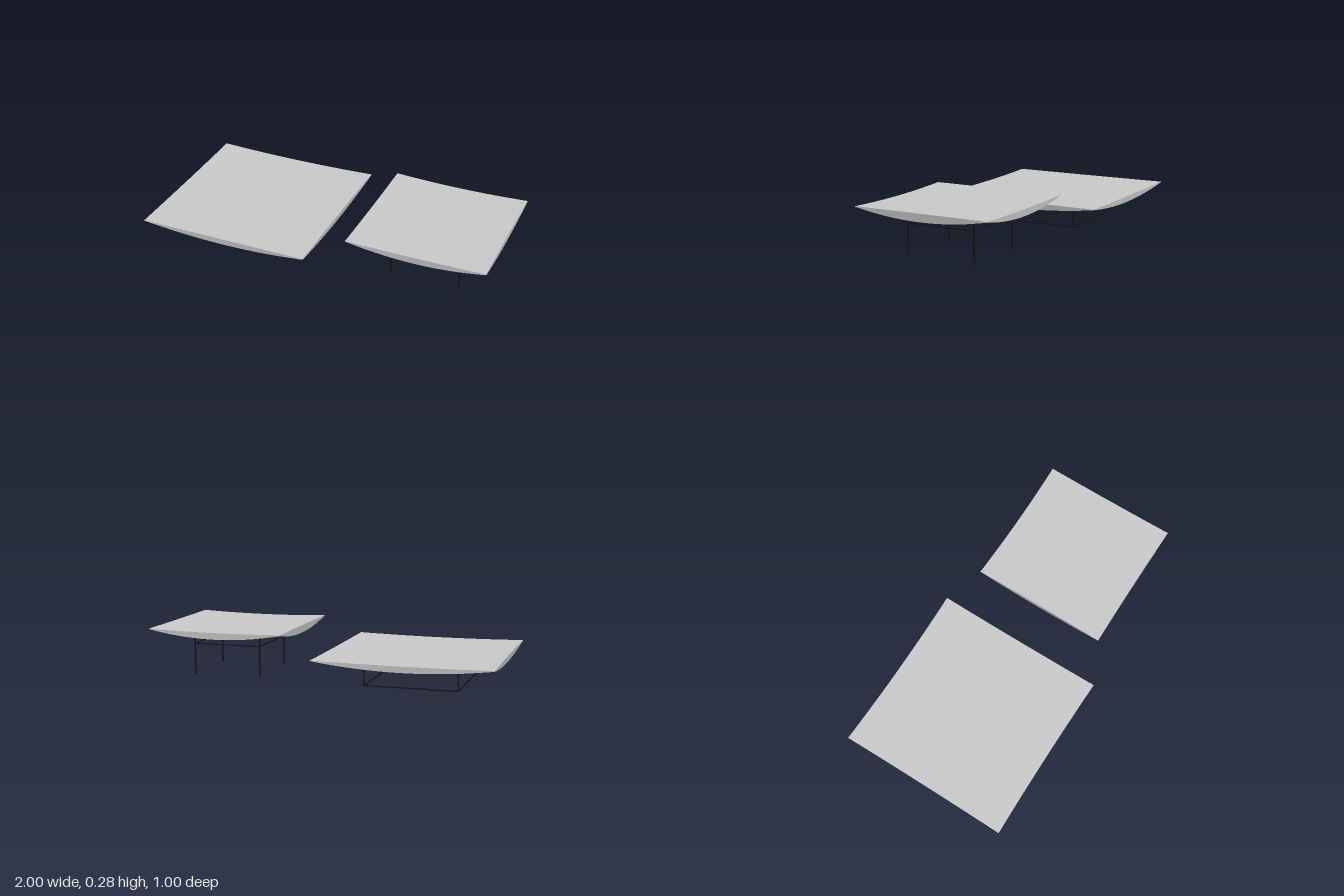
import * as THREE from 'three';

const trayMaterial = new THREE.MeshStandardMaterial({ color: 0xcccccc, side: THREE.DoubleSide });
const frameMaterial = new THREE.MeshStandardMaterial({ color: 0x141414 });
const LIP = 0.003; // tray thickness at the corners
const BAR = 0.008; // frame bar thickness

// Square tray: a nearly flat top over a bowed underside that rises to the four corners,
// so each side is a crescent, deepest in the middle of the edge.
function createTray(half, cornerY, topSag, bottomSag) {
  const geometry = new THREE.BoxGeometry(2, 1, 2, 32, 1, 32);
  const position = geometry.attributes.position;
  for (let i = 0; i < position.count; i++) {
    const u = position.getX(i);
    const v = position.getZ(i);
    const isTop = position.getY(i) > 0;
    const bowX = isTop ? 0.006 : 0.02;
    const bowZ = isTop ? 0.016 : 0.02;
    position.setXYZ(
      i,
      half * u * (1 - bowX * (1 - v * v)),
      isTop ? cornerY - topSag * (1 - u * u) : cornerY - LIP - bottomSag * (1 - u * u * v * v),
      half * v * (1 - bowZ * (1 - u * u))
    );
  }
  geometry.computeVertexNormals();
  const tray = new THREE.Mesh(geometry, trayMaterial);
  tray.name = 'tray';
  return tray;
}

// Wire frame: four posts and a horizontal ring of bars at each given height.
function createFrame(halfX, halfZ, height, ringHeights) {
  const frame = new THREE.Group();
  frame.name = 'frame';
  const addBar = (name, w, h, d, x, y, z) => {
    const bar = new THREE.Mesh(new THREE.BoxGeometry(w, h, d), frameMaterial);
    bar.name = name;
    bar.position.set(x, y, z);
    frame.add(bar);
  };
  for (const sx of [-1, 1]) {
    for (const sz of [-1, 1]) addBar('leg', BAR, height, BAR, sx * halfX, height / 2, sz * halfZ);
  }
  for (const y of ringHeights) {
    for (const s of [-1, 1]) {
      addBar('crossBar', 2 * halfX + BAR, 0.006, BAR, 0, y, s * halfZ);
      addBar('sideBar', BAR, 0.006, 2 * halfZ + BAR, s * halfX, y, 0);
    }
  }
  return frame;
}

function createTable(name, x, tray, frame) {
  const table = new THREE.Group();
  table.name = name;
  table.position.x = x;
  table.add(tray, frame);
  return table;
}

export function createModel() {
  const model = new THREE.Group();
  model.name = 'trayTables';
  model.add(
    // Low, wide table on a box-shaped frame
    createTable('lowTable', -0.5, createTray(0.5, 0.173, 0.006, 0.038), createFrame(0.265, 0.261, 0.132, [0.003, 0.129])),
    // Taller, smaller table on open legs
    createTable('highTable', 0.603, createTray(0.397, 0.284, 0.008, 0.043), createFrame(0.2, 0.203, 0.238, [0.178, 0.235]))
  );
  return model;
}
